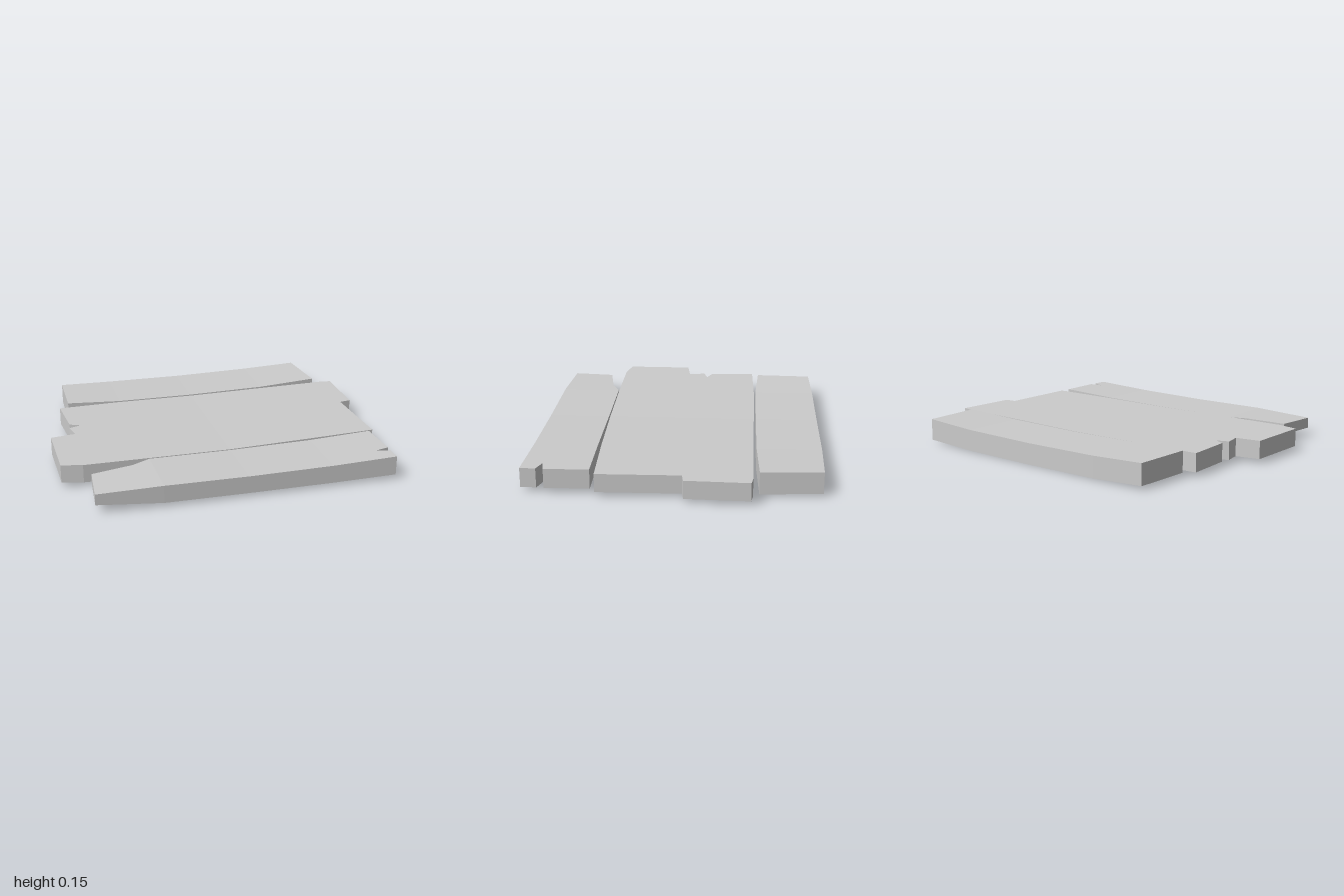
import * as THREE from 'three';

const material = new THREE.MeshStandardMaterial({ color: 0xcccccc, flatShading: true });

// Height along a plank: profile rows are [x, bottom, top].
function heightAt(profile, x, column) {
  let i = 0;
  while (i < profile.length - 2 && x > profile[i + 1][0]) i++;
  const a = profile[i], b = profile[i + 1];
  const t = THREE.MathUtils.clamp((x - a[0]) / (b[0] - a[0]), 0, 1);
  return THREE.MathUtils.lerp(a[column], b[column], t);
}

// A warped plank. left runs back to front, right runs front to back, both [x, z];
// ribs are [x, backZ, frontZ] cross-sections where the plank bends.
function plank({ name, left, ribs, right, profile }) {
  const positions = [];
  const put = ([x, z], column) => positions.push(x, heightAt(profile, x, column), z);
  const back = ribs.map(([x, z]) => [x, z]);
  const front = ribs.map(([x, , z]) => [x, z]);
  const last = ribs.length - 1;

  // Top and bottom, one piece between each pair of ribs plus the two ragged ends
  const pieces = [[back[0], ...left, front[0]], [front[last], ...right, back[last]]];
  for (let i = 0; i < last; i++) pieces.push([back[i], front[i], front[i + 1], back[i + 1]]);
  for (const piece of pieces) {
    const points = piece.map(([x, z]) => new THREE.Vector2(x, z));
    for (const [i, j, k] of THREE.ShapeUtils.triangulateShape(points, [])) {
      const [a, b, c] = [piece[i], piece[j], piece[k]];
      const turn = (b[0] - a[0]) * (c[1] - a[1]) - (b[1] - a[1]) * (c[0] - a[0]);
      const up = turn < 0 ? [a, b, c] : [a, c, b];
      up.forEach(p => put(p, 2));
      up.reverse().forEach(p => put(p, 1));
    }
  }

  // Side walls around the outline
  const outline = [...left, ...front, ...right, ...back.slice().reverse()];
  outline.forEach((a, i) => {
    const b = outline[(i + 1) % outline.length];
    put(a, 1); put(b, 1); put(b, 2);
    put(a, 1); put(b, 2); put(a, 2);
  });

  const geometry = new THREE.BufferGeometry();
  geometry.setAttribute('position', new THREE.Float32BufferAttribute(positions, 3));
  geometry.computeVertexNormals();
  const mesh = new THREE.Mesh(geometry, material);
  mesh.name = name;
  return mesh;
}

export function createModel() {
  const model = new THREE.Group();
  model.name = 'plankPlatform';

  model.add(
    // Thick, plain plank at the back
    plank({
      name: 'backPlank',
      left: [[-0.81, -0.84], [-0.82, -0.49]],
      ribs: [[-0.48, -0.85, -0.47], [0, -0.85, -0.47], [0.5, -0.85, -0.47]],
      right: [[0.88, -0.485], [0.855, -0.84]],
      profile: [[-0.82, 0.02, 0.145], [-0.48, 0.005, 0.133], [0, 0, 0.127], [0.5, 0.003, 0.132], [0.87, 0.015, 0.147]],
    }),
    // Wide plank with a splintered left end and a stepped right end
    plank({
      name: 'middlePlank',
      left: [[-0.88, -0.45], [-0.86, -0.165], [-0.795, -0.135], [-0.87, -0.11],
        [-0.85, -0.01], [-1, 0.01], [-1, 0.415], [-0.875, 0.445]],
      ribs: [[-0.48, -0.46, 0.45], [0, -0.457, 0.45], [0.5, -0.452, 0.44]],
      right: [[0.925, 0.425], [0.915, -0.06], [0.985, -0.07], [0.995, -0.44], [0.93, -0.45]],
      profile: [[-1, 0.025, 0.133], [-0.48, 0.016, 0.13], [0, 0.014, 0.125], [0.5, 0.016, 0.13], [1, 0.025, 0.133]],
    }),
    // Front plank, thinned and chipped on the left, notched on the right
    plank({
      name: 'frontPlank',
      left: [[-0.6, 0.505], [-0.845, 0.545], [-0.87, 0.8]],
      ribs: [[-0.49, 0.455, 0.82], [0, 0.458, 0.828], [0.5, 0.46, 0.837]],
      right: [[0.89, 0.845], [0.89, 0.755], [0.81, 0.73], [0.895, 0.713], [0.887, 0.455]],
      profile: [[-0.87, 0.052, 0.117], [-0.48, 0.022, 0.128], [0, 0.02, 0.124], [0.5, 0.021, 0.129], [0.89, 0.027, 0.142]],
    }),
  );
  return model;
}
